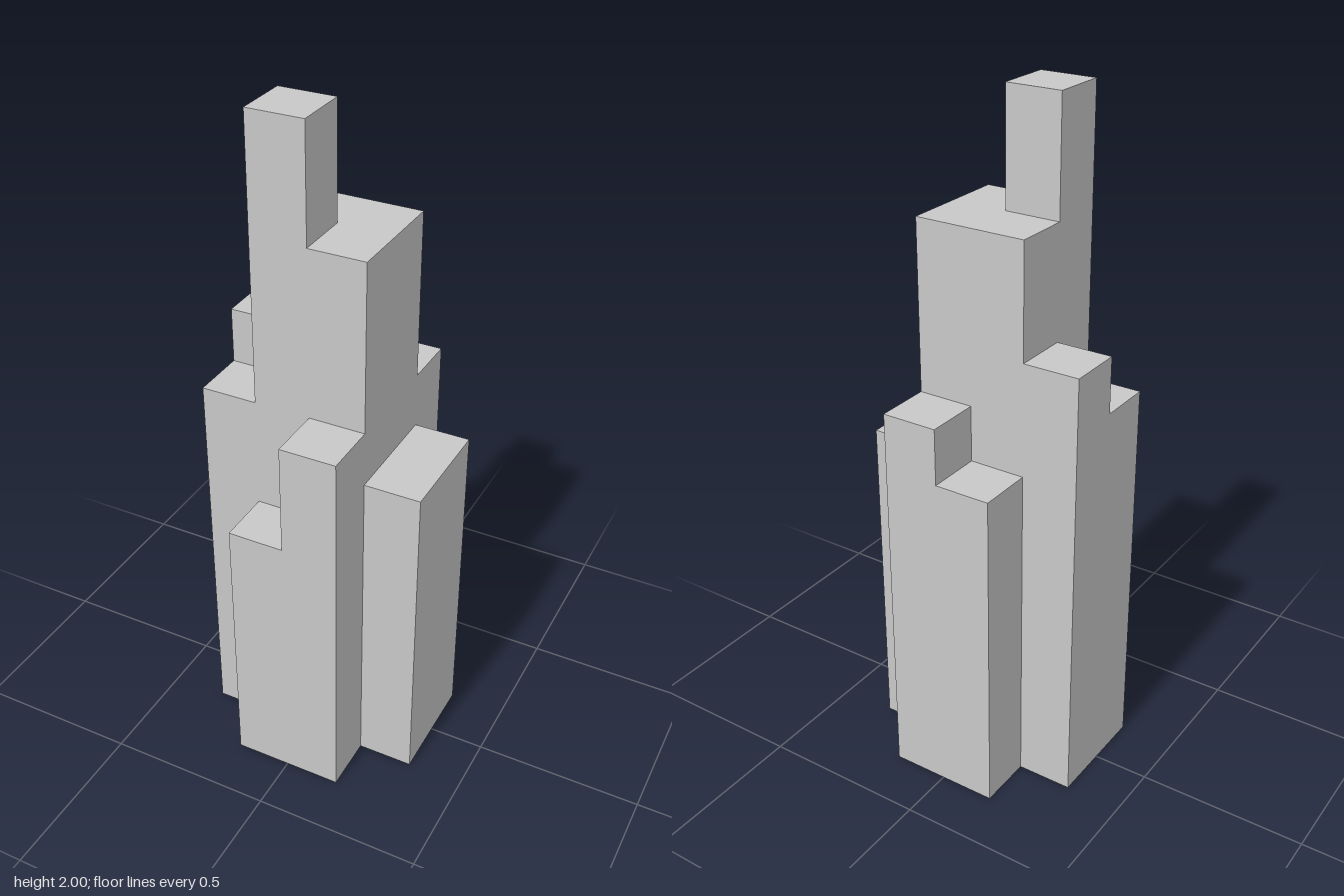
import * as THREE from 'three';

const U = 1 / 6; // the tower is laid out on a grid of sixths

export function createModel() {
  const model = new THREE.Group();
  model.name = 'steppedTower';
  const concrete = new THREE.MeshStandardMaterial({ color: 0xc8c8c8 });
  concrete.name = 'light grey concrete';

  const add = (name, geometry) => {
    const mesh = new THREE.Mesh(geometry, concrete);
    mesh.name = name;
    model.add(mesh);
    return mesh;
  };

  // Block given by its centre, base and size in grid units
  const block = (name, x, z, base, width, height) => {
    const mesh = add(name, new THREE.BoxGeometry(width * U, height * U, width * U));
    mesh.position.set(x * U, (base + height / 2) * U, z * U);
  };

  // Wing one unit deep, with a step between its two halves, turned to its side of the core
  const wing = (name, turn, heightA, heightB) => {
    const points = [[-1, 0], [1, 0], [1, heightB], [0, heightB]];
    if (heightA !== heightB) points.push([0, heightA]);
    points.push([-1, heightA]);
    const shape = new THREE.Shape(points.map(([x, y]) => new THREE.Vector2(x * U, y * U)));
    const geometry = new THREE.ExtrudeGeometry(shape, { depth: U, bevelEnabled: false });
    geometry.translate(0, 0, U);
    add(name, geometry).rotation.y = turn;
  };

  // Central shaft and the corner spire on its roof
  block('core', 0, 0, 0, 2, 10);
  block('spire', -0.5, 0.5, 10, 1, 2);

  // Four wings around the core
  wing('frontWing', 0, 5, 7);
  wing('leftWing', Math.PI / 2, 6, 6);
  wing('backWing', Math.PI, 7, 6);
  wing('rightWing', -Math.PI / 2, 8, 7);

  return model;
}
